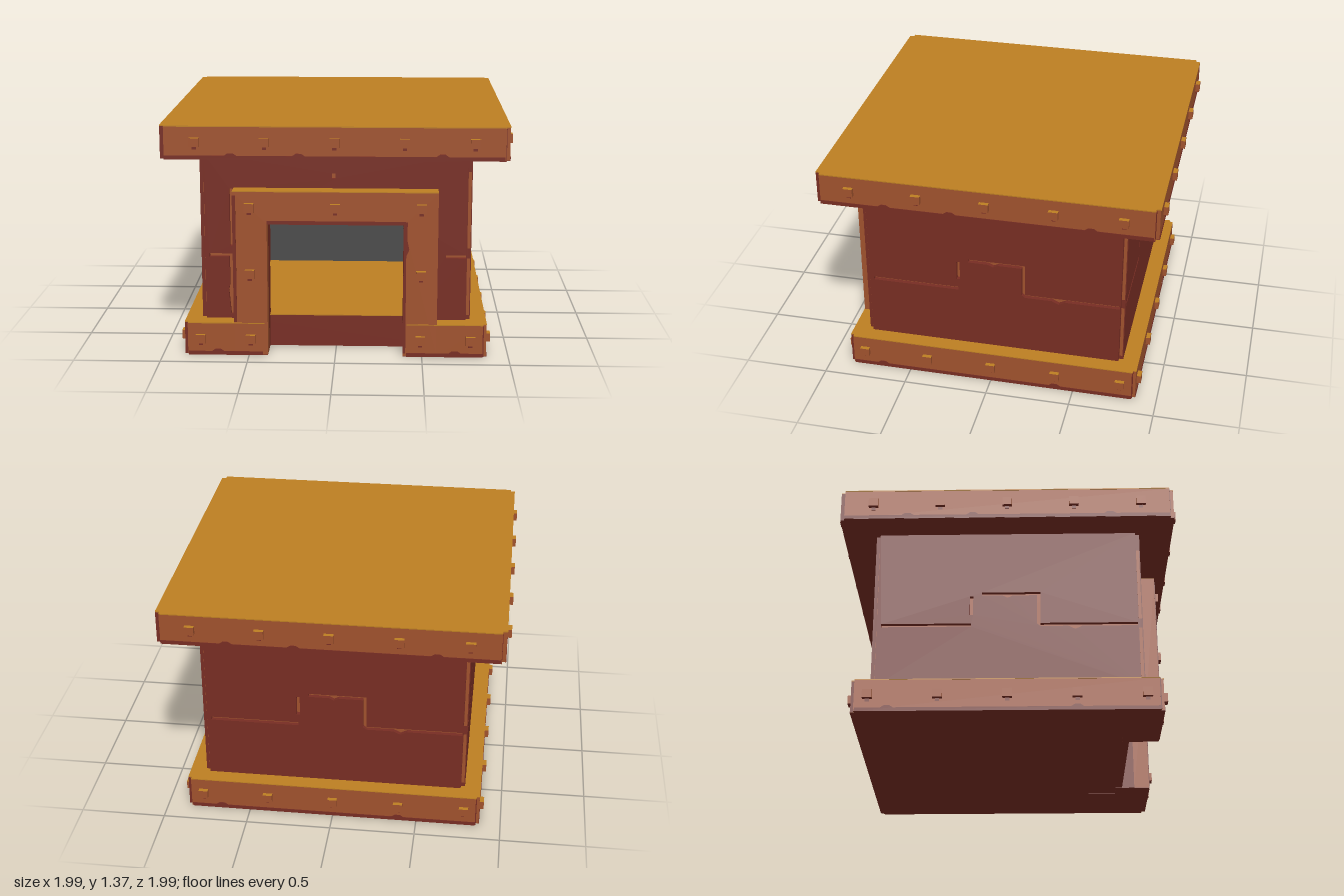
import * as THREE from 'three';

const mat = (name, color) => {
  const m = new THREE.MeshStandardMaterial({ color });
  m.name = name;
  return m;
};

export function createModel() {
  const orange = mat('sienna trim', 0xa0522d);
  const red = mat('dark red wall', 0x772d23);
  const gold = mat('gold top', 0xbd7f22);
  const gray = mat('gray back', 0x4a4a4a);
  const model = new THREE.Group();

  const add = (parent, name, geo, material) => {
    const m = new THREE.Mesh(geo, material);
    m.name = name;
    parent.add(m);
    return m;
  };
  // Box given by its minimum and maximum corners
  const box = (parent, name, a, b, material) => {
    const m = add(parent, name, new THREE.BoxGeometry(b[0] - a[0], b[1] - a[1], b[2] - a[2]), material);
    m.position.set((a[0] + b[0]) / 2, (a[1] + b[1]) / 2, (a[2] + b[2]) / 2);
    return m;
  };
  const shape = pts => new THREE.Shape(pts.map(p => new THREE.Vector2(...p)));
  const extrude = (s, depth) => new THREE.ExtrudeGeometry(s, { depth, bevelEnabled: false });
  // Horizontal slab from a plan shape (shape y points to the back)
  const slab = (name, s, y0, y1, material) => {
    const m = add(model, name, extrude(s, y1 - y0).rotateX(-Math.PI / 2), material);
    m.position.y = y0;
  };
  // Square plan with notched corners, optionally opened by a doorway and room
  const plan = (o, n, door, room, back, front) => {
    const i = o - n;
    const left = [[-i, -o], [-i, -i], [-o, -i], [-o, i], [-i, i], [-i, o]];
    const right = left.map(([x, y]) => [-x, y]).reverse();
    const hole = door
      ? [[door, -o], [door, -front], [room, -front], [room, back], [-room, back], [-room, -front], [-door, -front], [-door, -o]]
      : [];
    const [r0, l0] = [right, left];
    return shape([...hole.reverse(), ...r0.slice().reverse(), ...l0.slice().reverse()]);
  };

  // Cube bolt with a gold top and a small dark mark below
  const bolt = (parent, x, y, z) => {
    const g = new THREE.Group();
    g.name = 'bolt';
    add(g, 'boltHead', new THREE.BoxGeometry(0.055, 0.05, 0.025), [orange, orange, gold, red, orange, orange]).position.z = 0.0125;
    box(g, 'boltMark', [-0.012, -0.042, 0], [0.012, -0.025, 0.004], red);
    g.position.set(x, y, z);
    parent.add(g);
  };
  // Chipped dark lower edge of a trim board
  const chippedEdge = (parent, x0, x1, y, z, bumps) => {
    const top = bumps.flatMap(b => [[b - 0.035, 0.022], [b - 0.015, 0.036], [b + 0.015, 0.036], [b + 0.035, 0.022]]);
    const pts = [[x0, 0], [x1, 0], [x1, 0.022], ...top.reverse(), [x0, 0.022]];
    add(parent, 'chippedEdge', extrude(shape(pts), 0.004), red).position.set(0, y, z - 0.004);
  };

  // Grooves cut into the wall boards
  const rect = (x0, y0, x1, y1) => [[x0, y0], [x1, y0], [x1, y1], [x0, y1]];
  const sideGrooves = [
    rect(-0.73, 0.565, -0.21, 0.585),
    rect(-0.22, 0.64, -0.2, 0.76),
    [[-0.15, 0.765], [-0.03, 0.765], [0, 0.75], [0.03, 0.765], [0.17, 0.765], [0.17, 0.58], [0.19, 0.565],
      [0.35, 0.565], [0.39, 0.545], [0.43, 0.565], [0.75, 0.565], [0.75, 0.585], [0.19, 0.585], [0.19, 0.785], [-0.15, 0.785]],
  ];
  const frontGrooves = [
    [[-0.73, 0.565], [-0.615, 0.565], [-0.615, 0.4], [-0.622, 0.36], [-0.61, 0.22], [-0.59, 0.22], [-0.59, 0.585], [-0.73, 0.585]],
    rect(-0.61, 0.63, -0.59, 0.97),
    rect(0.635, 0.565, 0.75, 0.585),
    rect(-0.022, 1.03, -0.002, 1.06),
  ];

  // Wall core with a room open to the front and below
  for (const s of [-1, 1]) {
    box(model, 'sideWallCore', [s < 0 ? -0.755 : 0.49, 0.004, -0.755], [s < 0 ? -0.49 : 0.755, 1.18, 0.755], orange);
    box(model, 'doorJamb', [s < 0 ? -0.5 : 0.39, 0.004, 0.66], [s < 0 ? -0.39 : 0.5, 0.8, 0.778], red);
    box(model, 'innerWall', [s < 0 ? -0.49 : 0.486, 0.195, -0.49], [s < 0 ? -0.486 : 0.49, 0.79, 0.66], red);
  }
  box(model, 'backWallCore', [-0.49, 0.004, -0.755], [0.49, 1.18, -0.49], orange);
  box(model, 'ceilingCore', [-0.49, 0.79, -0.49], [0.49, 1.18, 0.755], orange);
  box(model, 'ceiling', [-0.49, 0.786, -0.49], [0.49, 0.79, 0.755], red);
  box(model, 'innerBack', [-0.486, 0.004, -0.49], [0.486, 0.786, -0.486], gray);

  // Base and roof bodies, with gold tops and dark undersides
  slab('baseBottom', plan(0.871, 0.02, 0.391, 0.49, -0.49, 0.66), 0, 0.004, red);
  slab('baseCore', plan(0.852, 0.001, 0.41, 0.7, -0.7, 0.7), 0.003, 0.19, red);
  slab('baseLedge', plan(0.874, 0.02, 0.41, 0.7, -0.7, 0.7), 0.19, 0.195, gold);
  box(model, 'roofCore', [-0.95, 1.175, -0.95], [0.95, 1.36, 0.95], red);
  slab('roofTop', plan(0.975, 0.026), 1.36, 1.366, gold);

  // Boards, trim and bolts on each of the four sides
  for (let i = 0; i < 4; i++) {
    const side = new THREE.Group();
    side.name = ['frontSide', 'rightSide', 'backSide', 'leftSide'][i];
    side.rotation.y = i * Math.PI / 2;
    model.add(side);

    const board = i === 0
      ? shape([[-0.755, 0.19], [-0.4, 0.19], [-0.4, 0.79], [0.4, 0.79], [0.4, 0.19], [0.755, 0.19], [0.755, 1.178], [-0.755, 1.178]])
      : shape(rect(-0.755, 0.19, 0.755, 1.178));
    for (const g of i === 0 ? frontGrooves : sideGrooves) {
      board.holes.push(new THREE.Path(g.map(p => new THREE.Vector2(...p))));
    }
    add(side, 'wallBoard', extrude(board, 0.025), red).position.z = 0.755;
    for (const [y0, y1] of [[0.22, 0.56], [0.62, 1.07]]) {
      box(side, 'cornerWear', [0.757, y0, 0.755], [0.775, y1, 0.757], orange);
    }

    box(side, 'roofTrim', [-0.95, 1.177, 0.95], [0.95, 1.36, 0.972], orange);
    box(side, 'roofTrimEnd', [-0.974, 1.177, 0.949], [-0.95, 1.36, 0.952], red);
    box(side, 'roofTrimUnderside', [-0.95, 1.175, 0.945], [0.95, 1.178, 0.974], red);
    chippedEdge(side, -0.95, 0.945, 1.176, 0.975, [-0.58, -0.2, 0.6]);
    for (let k = -2; k <= 2; k++) bolt(side, k * 0.39, 1.275, 0.972);

    const spans = i === 0 ? [[-0.855, -0.585], [0.585, 0.855]] : [[-0.855, 0.855]];
    for (const [a, b] of spans) box(side, 'baseTrim', [a, 0.003, 0.85], [b, 0.19, 0.872], orange);
    box(side, 'baseTrimEnd', [-0.873, 0.004, 0.85], [-0.855, 0.19, 0.856], red);
    if (i === 0) {
      chippedEdge(side, -0.85, -0.42, 0, 0.875, [-0.68]);
      chippedEdge(side, 0.41, 0.85, 0, 0.875, [0.69]);
      for (const x of [-0.78, -0.49, 0.49, 0.78]) bolt(side, x, 0.1, 0.872);
    } else {
      chippedEdge(side, -0.85, 0.85, 0, 0.875, [-0.67, 0.39]);
      for (let k = -2; k <= 2; k++) bolt(side, k * 0.39, 0.1, 0.872);
    }
  }

  // Door frame with gold top and dark worn edges
  const frame = shape([[-0.585, 0.003], [-0.39, 0.003], [-0.39, 0.785], [0.39, 0.785], [0.39, 0.003], [0.585, 0.003], [0.585, 0.97], [-0.585, 0.97]]);
  add(model, 'doorFrame', extrude(frame, 0.094), orange).position.z = 0.778;
  box(model, 'doorFrameTop', [-0.585, 0.97, 0.778], [0.585, 0.975, 0.873], gold);
  box(model, 'doorFrameEdge', [-0.586, 0.2, 0.871], [-0.567, 0.95, 0.875], red);
  box(model, 'lintelEdge', [-0.39, 0.782, 0.778], [0.4, 0.803, 0.875], red).scale.z = 1;
  const wear = [[0.389, 0.02], [0.405, 0.02], [0.405, 0.6], [0.422, 0.64], [0.41, 0.7], [0.412, 0.8], [0.389, 0.803]];
  add(model, 'jambEdge', extrude(shape(wear), 0.004), red).position.z = 0.871;
  for (const x of [-0.49, 0.49]) {
    bolt(model, x, 0.49, 0.872);
    bolt(model, x, 0.88, 0.872);
  }
  bolt(model, 0, 0.88, 0.872);

  return model;
}
